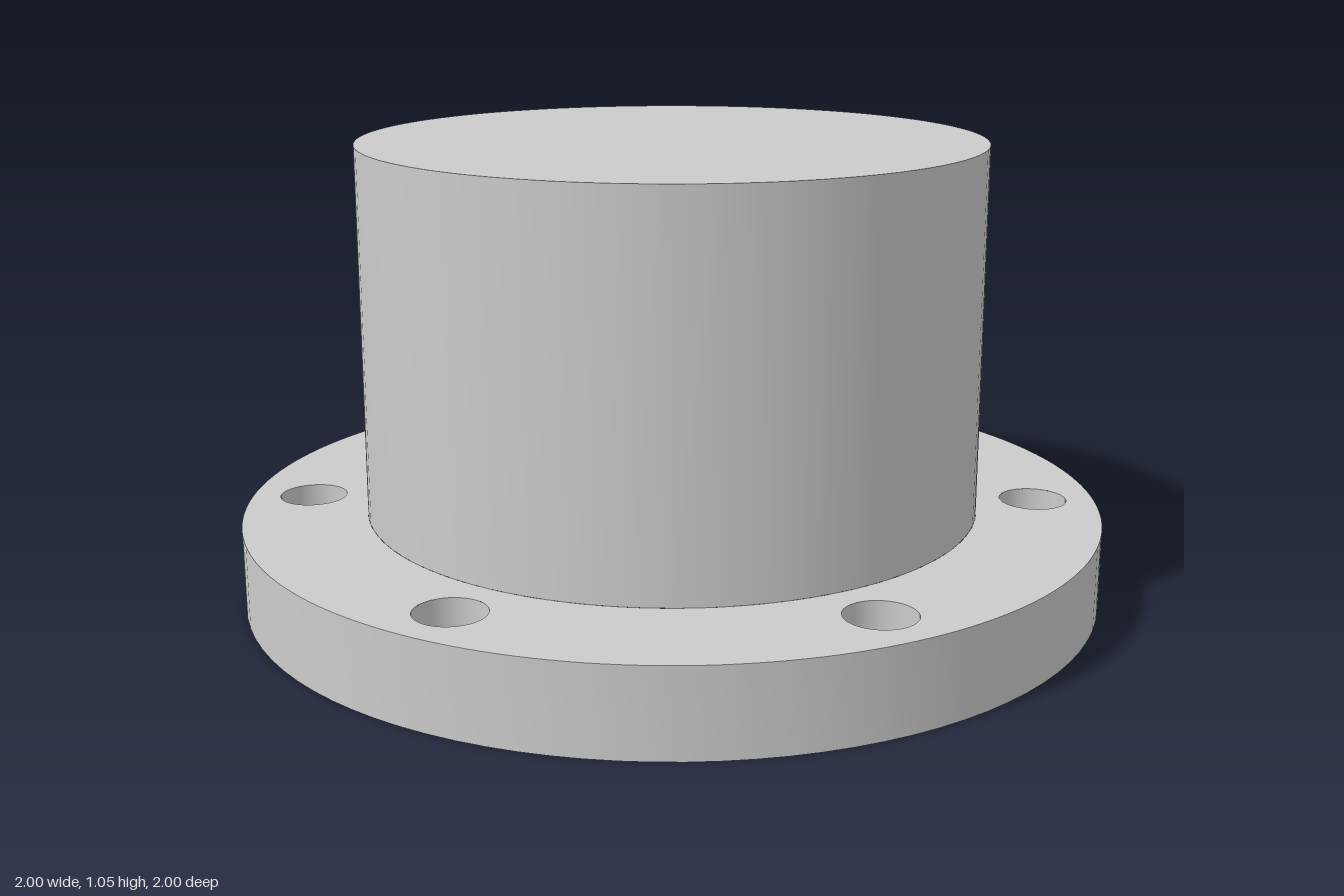
import * as THREE from 'three';
import { toCreasedNormals } from 'three/addons/utils/BufferGeometryUtils.js';

const FLANGE_R = 1, FLANGE_H = 0.195;
const BODY_R = 0.715, TOTAL_H = 1.05;
const RECESS_R = 0.57, RECESS_DEPTH = 0.1;
const BOLT_CIRCLE = 0.857, BOLT_R = 0.078;
const SEG = 96;

export function createModel() {
  const group = new THREE.Group();
  const mat = new THREE.MeshStandardMaterial({ color: 0xcccccc });
  const insideMat = new THREE.MeshStandardMaterial({ color: 0xcccccc, side: THREE.BackSide });

  const add = (name, geometry, material = mat, parent = group) => {
    const mesh = new THREE.Mesh(geometry, material);
    mesh.name = name;
    parent.add(mesh);
    return mesh;
  };

  // Sharp-edged turned part from a short profile
  const turned = (points) => toCreasedNormals(
    new THREE.LatheGeometry(points.map(([r, y]) => new THREE.Vector2(r, y)), SEG), 0.6);

  // Six bolt holes, evenly spaced and slightly turned from the x axis
  const bolts = Array.from({ length: 6 }, (_, i) => {
    const a = THREE.MathUtils.degToRad(8.6 + i * 60);
    return [BOLT_CIRCLE * Math.cos(a), BOLT_CIRCLE * Math.sin(a)];
  });

  // Flat flange face with a round centre opening and the bolt holes
  const flangeFace = (innerR) => {
    const shape = new THREE.Shape().absarc(0, 0, FLANGE_R, 0, Math.PI * 2);
    const cut = (x, y, r) => shape.holes.push(new THREE.Path().absarc(x, y, r, 0, Math.PI * 2, true));
    cut(0, 0, innerR);
    bolts.forEach(([x, y]) => cut(x, y, BOLT_R));
    return new THREE.ShapeGeometry(shape, SEG).rotateX(-Math.PI / 2);
  };

  // Flange: top face, underside and rim
  const flange = new THREE.Group();
  flange.name = 'flange';
  group.add(flange);
  add('flangeTop', flangeFace(BODY_R).translate(0, FLANGE_H, 0), mat, flange);
  add('flangeUnderside', flangeFace(RECESS_R), insideMat, flange);
  add('flangeRim', turned([[FLANGE_R, 0], [FLANGE_R, FLANGE_H]]), mat, flange);

  // Walls of the bolt holes
  const holeWall = new THREE.CylinderGeometry(BOLT_R, BOLT_R, FLANGE_H, SEG, 1, true);
  bolts.forEach(([x, y]) => {
    add('boltHole', holeWall, insideMat, flange).position.set(x, FLANGE_H / 2, -y);
  });

  // Cylindrical body with a flat top
  add('body', turned([[BODY_R, FLANGE_H], [BODY_R, TOTAL_H], [0, TOTAL_H]]));

  // Round recess in the underside
  add('recess', turned([[0, RECESS_DEPTH], [RECESS_R, RECESS_DEPTH], [RECESS_R, 0]]));

  return group;
}
